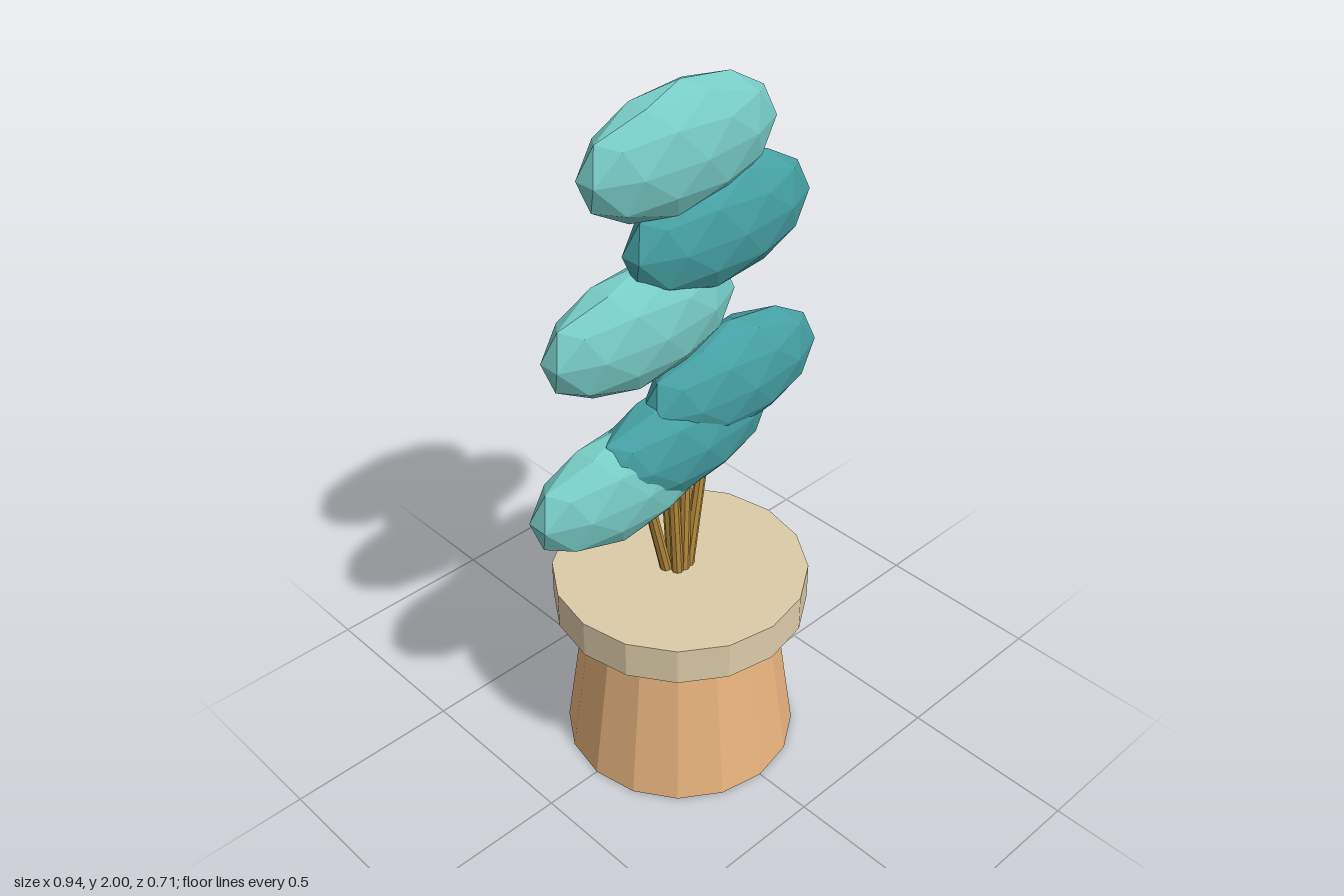
import * as THREE from 'three';

const mat = (color) => new THREE.MeshStandardMaterial({ color, flatShading: true });

export function createModel() {
  const group = new THREE.Group();
  const add = (name, geometry, material) => {
    const mesh = new THREE.Mesh(geometry, material);
    mesh.name = name;
    group.add(mesh);
    return mesh;
  };

  // Tapered pot and its wide flat rim
  add('pot', new THREE.CylinderGeometry(0.262, 0.33, 0.48, 16), mat(0xe8b47e)).position.y = 0.24;
  add('rim', new THREE.CylinderGeometry(0.355, 0.355, 0.11, 16), mat(0xdccba8)).position.y = 0.525;

  // Foliage pad: faceted ball standing on a corner, stretched flat
  const pad = new THREE.IcosahedronGeometry(1, 1);
  pad.rotateZ(-Math.atan2(2, 1 + Math.sqrt(5)));
  pad.scale(0.31, 0.167, 0.098);
  const light = mat(0x78ccc6), dark = mat(0x45a0a3);
  const pads = [
    [0, 1.833, 0, light],
    [0.13, 1.595, 0.003, dark],
    [-0.113, 1.392, -0.02, light],
    [0.175, 1.133, 0.01, dark],
    [0.01, 1.017, 0, dark],
    [-0.177, 0.95, -0.02, light],
  ];
  pads.forEach(([x, y, z, material], i) => {
    add(`foliage${i + 1}`, pad, material).position.set(x, y, z);
  });

  // Stems fanning out of the pot: [base x, base z, tip x, tip y, tip z]
  const stemMaterial = mat(0xb58a3c);
  const stems = [
    [-0.032, -0.018, -0.125, 0.95, -0.018],
    [-0.02, 0.012, -0.045, 1.03, 0.012],
    [-0.008, -0.02, -0.065, 1.4, -0.02],
    [0.0, 0.014, 0.012, 1.05, 0.014],
    [0.008, -0.014, 0.04, 1.55, -0.008],
    [0.018, 0.01, 0.105, 1.1, 0.01],
  ];
  const up = new THREE.Vector3(0, 1, 0);
  stems.forEach(([bx, bz, tx, ty, tz], i) => {
    const a = new THREE.Vector3(bx, 0.56, bz), b = new THREE.Vector3(tx, ty, tz);
    const dir = b.clone().sub(a);
    const stem = add(`stem${i + 1}`, new THREE.CylinderGeometry(0.015, 0.017, dir.length(), 8), stemMaterial);
    stem.position.copy(a).add(b).multiplyScalar(0.5);
    stem.quaternion.setFromUnitVectors(up, dir.normalize());
  });

  return group;
}
